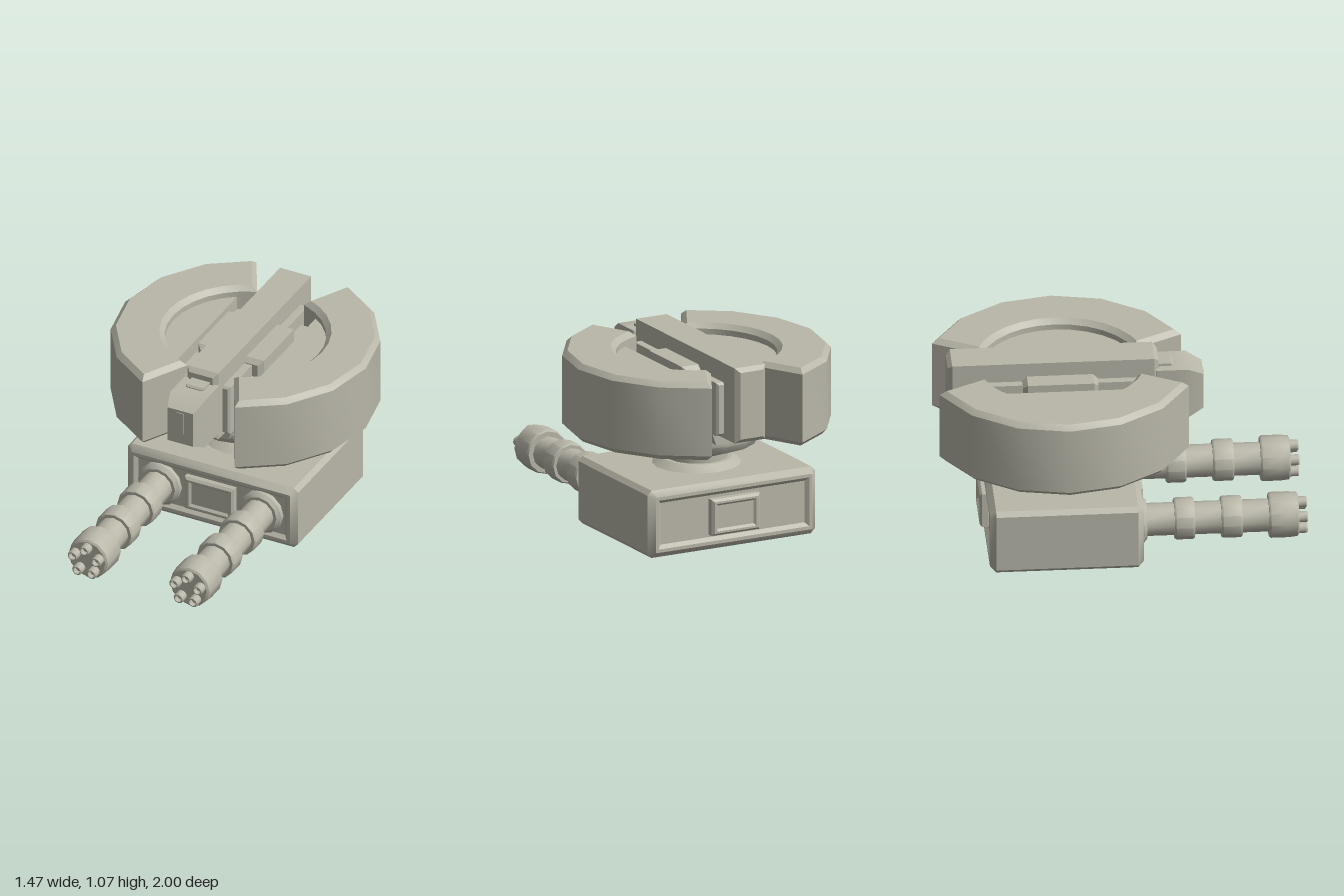
import * as THREE from 'three';
import { toCreasedNormals } from 'three/addons/utils/BufferGeometryUtils.js';

const ZC = -0.32; // turning axis of the neck and ring

export function createModel() {
  const model = new THREE.Group();
  model.name = 'twinGunTurret';
  const metal = new THREE.MeshStandardMaterial({ color: 0xb9b7a9 });
  metal.name = 'paleGreyMetal';

  const add = (name, geometry, x = 0, y = 0, z = 0, parent = model) => {
    const mesh = new THREE.Mesh(toCreasedNormals(geometry, 0.6), metal);
    mesh.name = name;
    mesh.position.set(x, y, z);
    parent.add(mesh);
    return mesh;
  };
  const polygon = (points) => new THREE.Shape(points.map(([x, y]) => new THREE.Vector2(x, y)));
  const rect = (w, h) => [[-w / 2, -h / 2], [w / 2, -h / 2], [w / 2, h / 2], [-w / 2, h / 2]];
  const cutRect = (w, h, c) => {
    const a = w / 2, b = h / 2;
    return [[-a + c, -b], [a - c, -b], [a, -b + c], [a, b - c], [a - c, b], [-a + c, b], [-a, b - c], [-a, -b + c]];
  };
  // Extrusion with one chamfer inside the outline, centred along z
  const chamfered = (shape, depth, c, cz = c) => new THREE.ExtrudeGeometry(shape, {
    depth: depth - 2 * cz, bevelEnabled: true, bevelSegments: 1,
    bevelSize: c, bevelThickness: cz, bevelOffset: -c,
  }).translate(0, 0, -(depth - 2 * cz) / 2);
  const block = (w, h, d, c) => chamfered(polygon(rect(w, h)), d, c);
  const framed = (outline, holeW, holeH, depth, c) => {
    const shape = polygon(outline);
    shape.holes.push(polygon(rect(holeW, holeH).reverse()));
    return chamfered(shape, depth, c);
  };
  const lathe = (points, sides) =>
    new THREE.LatheGeometry(points.map(([r, y]) => new THREE.Vector2(r, y)), sides);

  // Base housing with recessed front and back panels
  add('baseHousing', framed(cutRect(1.04, 0.38, 0.025), 0.87, 0.21, 0.84, 0.033), 0, 0.19, ZC);
  add('basePanels', new THREE.BoxGeometry(0.96, 0.29, 0.8), 0, 0.19, ZC);
  for (const [name, z] of [['front', 0.09], ['back', -0.74]]) {
    add(name + 'HatchFrame', framed(rect(0.3, 0.205), 0.22, 0.13, 0.06, 0.013), 0, 0.19, z);
    add(name + 'Hatch', new THREE.BoxGeometry(0.25, 0.16, 0.035), 0, 0.19, z);
  }

  // Neck and turning disc
  add('neck', lathe([[0, 0.37], [0.245, 0.37], [0.245, 0.38], [0.195, 0.415], [0.172, 0.415],
    [0.172, 0.46], [0.2, 0.46], [0.265, 0.505], [0.325, 0.505], [0.355, 0.55], [0.355, 0.575],
    [0.33, 0.595], [0.28, 0.595], [0.28, 0.66], [0, 0.66]], 16), 0, 0, ZC);

  // Twin rotary guns pointing forward
  for (const side of [1, -1]) {
    const gun = new THREE.Group();
    gun.name = side > 0 ? 'leftGun' : 'rightGun';
    gun.position.set(side * 0.31, 0.19, 0);
    model.add(gun);
    const body = lathe([[0, 0.07], [0.128, 0.07], [0.128, 0.105], [0.108, 0.125], [0.09, 0.125],
      [0.09, 0.275], [0.108, 0.275], [0.115, 0.285], [0.115, 0.375], [0.108, 0.385], [0.09, 0.385],
      [0.09, 0.53], [0.108, 0.53], [0.115, 0.54], [0.115, 0.635], [0.108, 0.645], [0.09, 0.645],
      [0.09, 0.79], [0.118, 0.79], [0.125, 0.8], [0.125, 0.9], [0.12, 0.945], [0.108, 0.953], [0, 0.953]], 12);
    add('gunBody', body.rotateX(Math.PI / 2), 0, 0, 0, gun);
    for (let i = 0; i < 5; i++) {
      const a = Math.PI / 2 + (i * Math.PI * 2) / 5;
      const tip = lathe([[0.03, 0.94], [0.03, 0.993], [0.025, 1], [0.02, 1], [0.02, 0.97], [0, 0.97]], 12);
      add('muzzle', tip.rotateX(Math.PI / 2), Math.cos(a) * 0.075, Math.sin(a) * 0.075, 0, gun);
    }
  }

  // Split ring: two thick chamfered arcs, plus the sunken drum segments inside
  for (const side of [1, -1]) {
    const name = side > 0 ? 'left' : 'right';
    const mirror = (points) => points.map(([x, y]) => [x * side, y]);
    const arc = [];
    for (let i = -3; i <= 3; i++) {
      const a = (i * Math.PI) / 8;
      arc.push([0.735 * Math.cos(a), 0.735 * Math.sin(a)]);
    }
    for (let i = 6; i >= -6; i--) {
      const a = (i / 6) * 1.24;
      arc.push([0.44 * Math.cos(a), 0.44 * Math.sin(a)]);
    }
    add(name + 'RingHalf', chamfered(polygon(mirror(arc)), 0.44, 0.028).rotateX(-Math.PI / 2), 0, 0.81, ZC);

    const segment = [];
    const end = Math.acos(0.24 / 0.45);
    for (let i = -5; i <= 5; i++) {
      const a = (i / 5) * end;
      segment.push([0.45 * Math.cos(a), 0.45 * Math.sin(a)]);
    }
    const plate = new THREE.ExtrudeGeometry(polygon(mirror(segment)), { depth: 0.31, bevelEnabled: false });
    add(name + 'DrumSegment', plate.rotateX(-Math.PI / 2), 0, 0.66, ZC);
  }

  // Central trench, hull and side boxes
  add('trenchFloor', new THREE.BoxGeometry(0.48, 0.23, 0.77), 0, 0.775, ZC);
  add('centralHull', block(0.28, 0.3, 0.94, 0.012), 0, 0.81, -0.33);
  add('sideBoxes', block(0.4, 0.3, 0.41, 0.025), 0, 0.84, -0.33);
  const cradle = polygon([[-0.1, 0.585], [0.1, 0.585], [0.13, 0.67], [-0.13, 0.67]]);
  add('cradle', new THREE.ExtrudeGeometry(cradle, { depth: 0.8, bevelEnabled: false }), 0, 0, ZC - 0.4);

  // Spine beam over the top, with its sensor head
  add('spineBeam', block(0.19, 0.425, 1.15, 0.024), 0, 0.857, -0.365);
  const head = new THREE.BoxGeometry(0.21, 0.3, 0.26, 1, 1, 3);
  const p = head.attributes.position;
  for (let i = 0; i < p.count; i++) {
    if (p.getZ(i) > 0.12) {
      p.setX(i, p.getX(i) * 0.75);
      p.setY(i, p.getY(i) * 0.7);
    }
  }
  add('sensorHead', head, 0, 0.85, 0.325);
  add('headCap', block(0.11, 0.05, 0.1, 0.01), 0, 0.99, 0.24);
  add('sensorSlot', new THREE.BoxGeometry(0.045, 0.13, 0.008), 0, 0.875, 0.455);

  return model;
}
